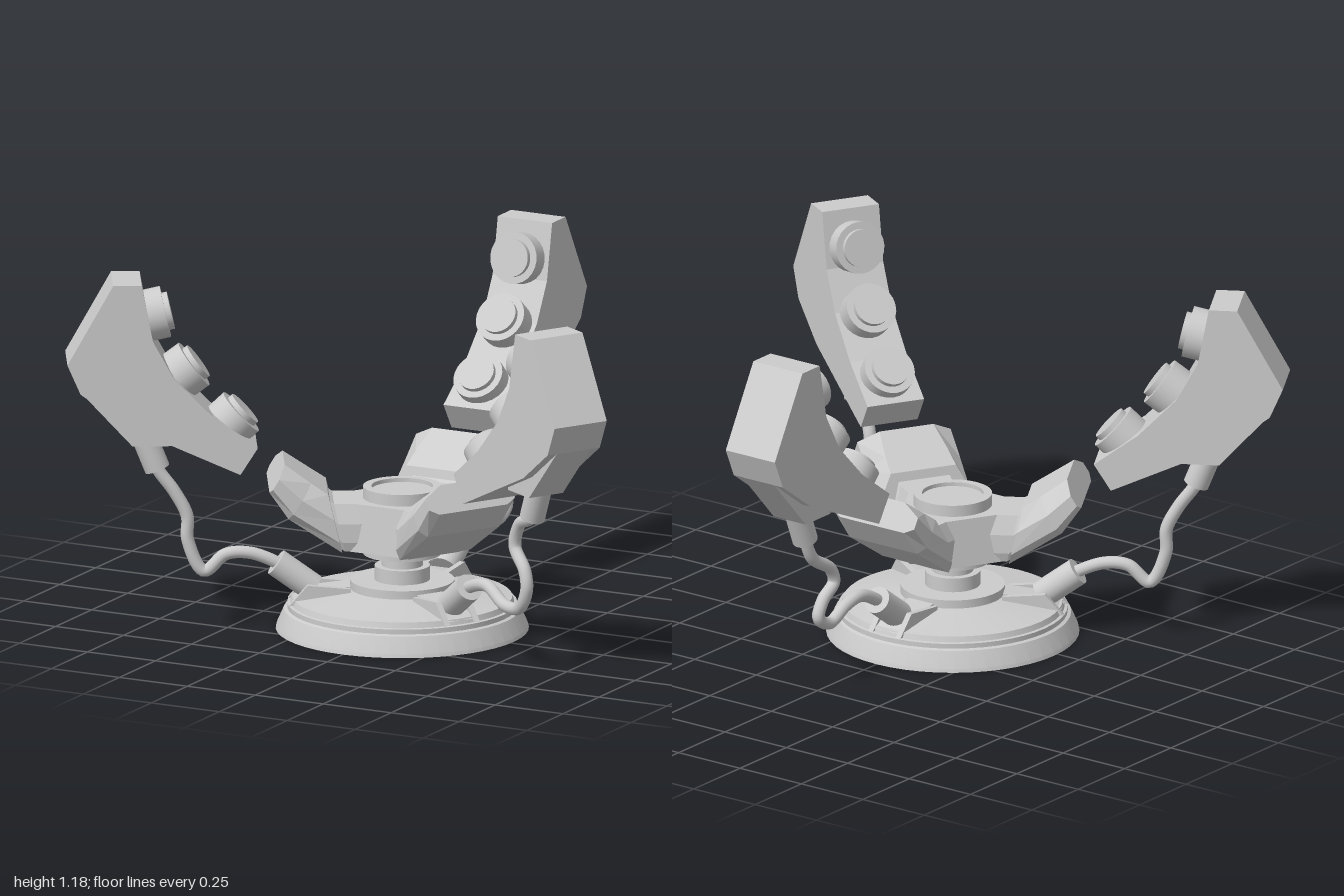
import * as THREE from 'three';
import { toCreasedNormals } from 'three/addons/utils/BufferGeometryUtils.js';

const smooth = new THREE.MeshStandardMaterial({ color: 0xcccccc });
const faceted = new THREE.MeshStandardMaterial({ color: 0xcccccc, flatShading: true });

function add(parent, name, geometry, material = smooth) {
  const mesh = new THREE.Mesh(geometry, material);
  mesh.name = name;
  parent.add(mesh);
  return mesh;
}

const v2 = (list) => list.map(([x, y]) => new THREE.Vector2(x, y));

function lathe(profile) {
  return toCreasedNormals(new THREE.LatheGeometry(v2(profile), 48), 0.2);
}

// Side profile (distance from hub, height) given a centred width
function slab(profile, width) {
  const g = new THREE.ExtrudeGeometry(new THREE.Shape(v2(profile)), { depth: width, bevelEnabled: false });
  return g.translate(0, 0, -width / 2);
}

// Cylinder between two points of an arm's plane
function rod(parent, name, a, b, radius) {
  const p = new THREE.Vector3(...a, 0), q = new THREE.Vector3(...b, 0);
  const m = add(parent, name, new THREE.CylinderGeometry(radius, radius, p.distanceTo(q), 24));
  m.position.lerpVectors(p, q, 0.5);
  m.quaternion.setFromUnitVectors(new THREE.Vector3(0, 1, 0), q.sub(p).normalize());
}

// Chamfered octagonal beam through stations [bottom, top, halfWidth, chamfer]
function beam(stations) {
  const rings = stations.map(([b, t, w, c]) =>
    [[w, 0.2], [w, 0.6], [w - c, 1], [c - w, 1], [-w, 0.6], [-w, 0.2], [c / 2 - w, 0], [w - c / 2, 0]]
      .map(([z, h]) => [b[0] + (t[0] - b[0]) * h, b[1] + (t[1] - b[1]) * h, z]));
  const pos = [];
  for (let i = 0; i < rings.length - 1; i++) {
    for (let j = 0; j < 8; j++) {
      const k = (j + 1) % 8;
      const a = rings[i][j], b = rings[i][k], c = rings[i + 1][k], d = rings[i + 1][j];
      pos.push(...a, ...d, ...c, ...a, ...c, ...b);
    }
  }
  const first = rings[0], last = rings[rings.length - 1];
  for (let j = 1; j < 7; j++) {
    pos.push(...last[0], ...last[j + 1], ...last[j]);
    pos.push(...first[0], ...first[j], ...first[j + 1]);
  }
  const g = new THREE.BufferGeometry();
  g.setAttribute('position', new THREE.Float32BufferAttribute(pos, 3));
  g.computeVertexNormals();
  return g;
}

const fingerProfile = [[0.53, 0.54], [0.9, 0.705], [1.05, 0.814], [1.093, 0.912], [0.944, 1.177],
  [0.851, 1.177], [0.815, 0.99], [0.745, 0.862], [0.62, 0.735], [0.474, 0.628]];

// Lamp front centre and tilt below horizontal
const lamps = [[0.753, 1.07, 0.22], [0.663, 0.9, 0.64], [0.511, 0.74, 0.75]];

// Each arm: heading and the path of its hanging cable
const arms = [
  ['back', Math.PI / 2, [[0.758, 0.465], [0.66, 0.4], [0.642, 0.35], [0.7, 0.305], [0.725, 0.25], [0.665, 0.215], [0.58, 0.25], [0.5, 0.262]]],
  ['left', -Math.PI / 6, [[0.72, 0.5], [0.69, 0.42], [0.75, 0.35], [0.762, 0.29], [0.72, 0.22], [0.63, 0.208], [0.52, 0.25]]],
  ['right', Math.PI * 7 / 6, [[0.74, 0.46], [0.7, 0.38], [0.698, 0.3], [0.645, 0.195], [0.575, 0.25], [0.5, 0.255]]],
];

function buildArm(name, heading, path) {
  const arm = new THREE.Group();
  arm.name = name + 'Arm';
  arm.rotation.y = heading;

  // Narrow neck leaving the hub, then a wider chamfered block
  add(arm, 'hubNeck', beam([
    [[0.1, 0.28], [0.1, 0.437], 0.11, 0.02],
    [[0.19, 0.28], [0.225, 0.437], 0.11, 0.02],
    [[0.3, 0.37], [0.26, 0.46], 0.11, 0.02],
  ]), faceted);
  add(arm, 'hubBlock', beam([
    [[0.2, 0.285], [0.245, 0.475], 0.155, 0.04],
    [[0.375, 0.4], [0.3, 0.512], 0.165, 0.055],
    [[0.437, 0.488], [0.386, 0.572], 0.165, 0.07],
  ]), faceted);

  // Floating finger with its cable bracket
  add(arm, 'finger', slab(fingerProfile, 0.2), faceted);
  add(arm, 'fingerBracket', slab([[0.75, 0.63], [0.88, 0.63], [1.05, 0.814], [0.9, 0.72], [0.75, 0.65]], 0.13), faceted);

  // Stepped lamps along the inner face
  for (const [r, y, tilt] of lamps) {
    const at = (d) => [r + Math.cos(tilt) * d, y - Math.sin(tilt) * d];
    rod(arm, 'lampHousing', at(0.13), at(0.018), 0.085);
    rod(arm, 'lampLens', at(0.03), at(0), 0.062);
  }

  // Cable and its two sockets
  rod(arm, 'upperSocket', [0.845, 0.66], [0.797, 0.54], 0.042);
  rod(arm, 'lowerSocket', [0.29, 0.135], [0.41, 0.222], 0.046);
  const points = [[0.83, 0.62], [0.797, 0.54], ...path, [0.41, 0.222], [0.37, 0.193]]
    .map(([r, y]) => new THREE.Vector3(r, y, 0));
  add(arm, 'cable', new THREE.TubeGeometry(new THREE.CatmullRomCurve3(points), 90, 0.021, 12));

  // Gusset plates holding the lower socket
  for (const z of [-0.056, 0.056]) {
    add(arm, 'socketGusset', slab([[0.17, 0.1], [0.37, 0.09], [0.31, 0.158], [0.17, 0.145]], 0.02), faceted).position.z = z;
  }
  add(arm, 'socketFoot', slab([[0.17, 0.11], [0.36, 0.1], [0.3, 0.135], [0.17, 0.15]], 0.1), faceted);
  return arm;
}

export function createModel() {
  const model = new THREE.Group();
  model.name = 'threeFingeredLamp';
  const body = new THREE.Group();
  body.name = 'body';
  body.position.z = 0.23;
  model.add(body);

  // Stepped round base, hollow underneath
  add(body, 'base', lathe([[0, 0.1], [0.345, 0.092], [0.375, 0.055], [0.385, 0], [0.412, 0], [0.409, 0.012],
    [0.385, 0.066], [0.374, 0.07], [0.374, 0.086], [0.364, 0.088], [0.358, 0.106], [0.33, 0.11],
    [0.17, 0.135], [0.17, 0.163], [0, 0.163]]));

  // Stem and collar under the hub
  add(body, 'stem', lathe([[0, 0.15], [0.09, 0.15], [0.09, 0.21], [0.067, 0.21], [0.067, 0.25],
    [0.128, 0.25], [0.128, 0.277], [0.11, 0.277], [0.11, 0.3], [0, 0.3]]));

  // Six-sided hub, one flat towards each arm, with a ringed cap
  const hub = add(body, 'hub', new THREE.CylinderGeometry(0.18, 0.2, 0.157, 6), faceted);
  hub.position.y = 0.3585;
  hub.rotation.y = Math.PI / 6;
  add(body, 'hubCap', lathe([[0, 0.4], [0.128, 0.4], [0.128, 0.475], [0.1, 0.475], [0.1, 0.462], [0, 0.462]]));

  for (const [name, heading, path] of arms) body.add(buildArm(name, heading, path));
  return model;
}
